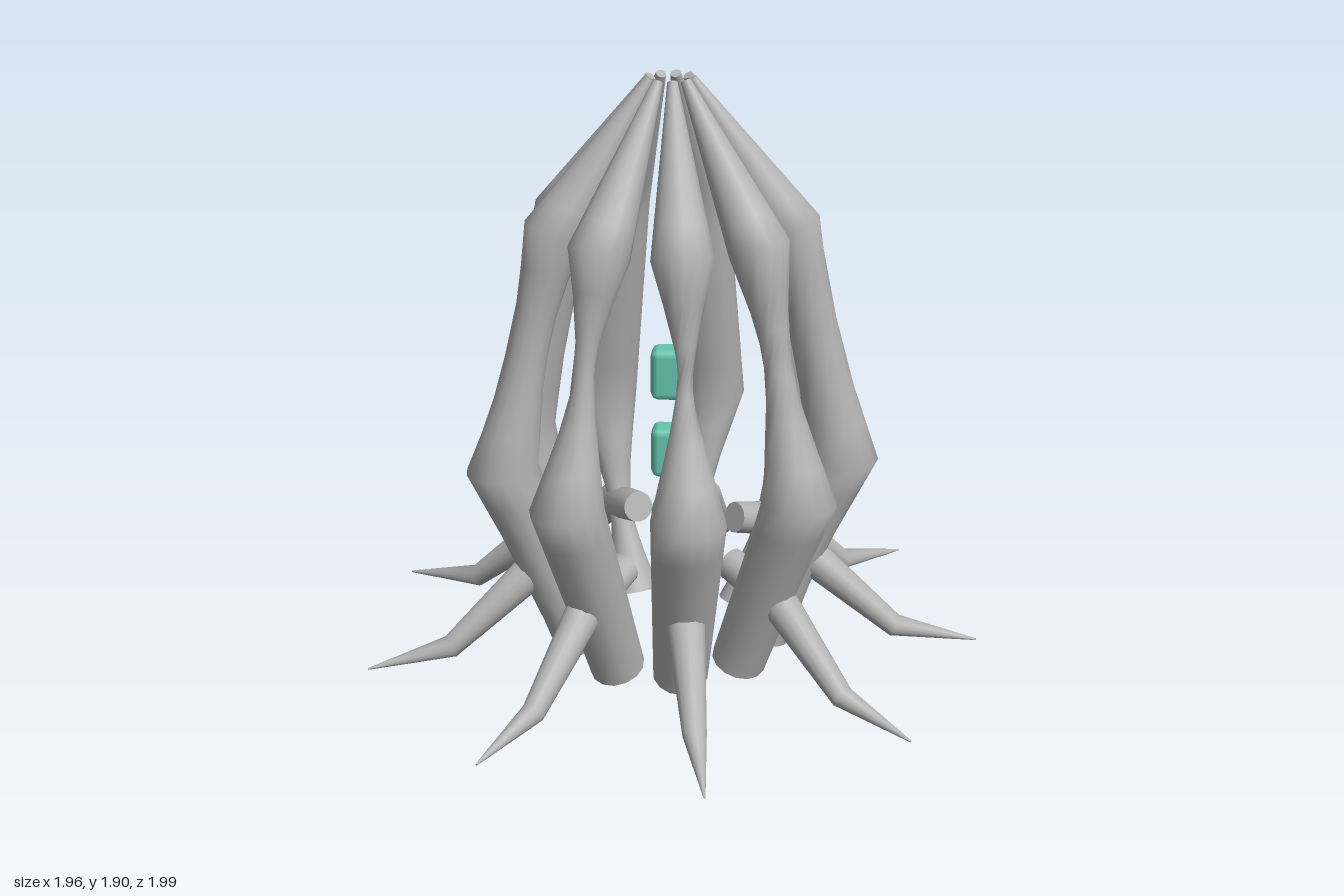
import * as THREE from 'three';
import { RoundedBoxGeometry } from 'three/addons/geometries/RoundedBoxGeometry.js';

const SIDES = 14;
const rad = THREE.MathUtils.degToRad;

// Skin round rings along a path in the local x-y plane.
// Each station is [x, y, radius, twist]; straight spans are split into `steps`.
function loft(stations, steps) {
  const pts = stations.map(([x, y]) => new THREE.Vector2(x, y));
  const rings = stations.map(([x, y, r, twist = 0], i) => {
    const t = new THREE.Vector2();
    if (i > 0) t.add(pts[i].clone().sub(pts[i - 1]).normalize());
    if (i < pts.length - 1) t.add(pts[i + 1].clone().sub(pts[i]).normalize());
    t.normalize();
    return Array.from({ length: SIDES }, (_, j) => {
      const a = (j / SIDES) * Math.PI * 2 + twist;
      const u = Math.cos(a) * r;
      return new THREE.Vector3(x - t.y * u, y + t.x * u, Math.sin(a) * r);
    });
  });

  const all = [rings[0]];
  for (let i = 1; i < rings.length; i++) {
    for (let s = 1; s <= steps; s++) {
      all.push(rings[i].map((p, j) => rings[i - 1][j].clone().lerp(p, s / steps)));
    }
  }

  const position = [];
  const index = [];
  const add = (p) => position.push(p.x, p.y, p.z);
  all.forEach((ring) => ring.forEach(add));
  for (let i = 0; i < all.length - 1; i++) {
    for (let j = 0; j < SIDES; j++) {
      const k = (j + 1) % SIDES;
      const a = i * SIDES + j, b = i * SIDES + k;
      index.push(a, b, b + SIDES, a, b + SIDES, a + SIDES);
    }
  }

  // Flat end caps with their own vertices
  [0, all.length - 1].forEach((n) => {
    const base = position.length / 3;
    const centre = new THREE.Vector3();
    all[n].forEach((p) => { add(p); centre.addScaledVector(p, 1 / SIDES); });
    add(centre);
    for (let j = 0; j < SIDES; j++) {
      const a = base + j, b = base + (j + 1) % SIDES;
      if (n === 0) index.push(base + SIDES, b, a);
      else index.push(base + SIDES, a, b);
    }
  });

  const geometry = new THREE.BufferGeometry();
  geometry.setAttribute('position', new THREE.Float32BufferAttribute(position, 3));
  geometry.setIndex(index);
  geometry.computeVertexNormals();
  return geometry;
}

export function createModel() {
  const model = new THREE.Group();
  model.name = 'clawedCage';
  const stone = new THREE.MeshStandardMaterial({ color: 0xb2b2b2 });
  stone.name = 'grey stone';
  const teal = new THREE.MeshStandardMaterial({ color: 0x66c6b0 });
  teal.name = 'teal gem';

  const centre = new THREE.Group();
  centre.name = 'cage';
  centre.position.x = -0.03;
  model.add(centre);

  // Nine bowed ribs, wrung in the upper span at the front and the lower span at the back
  const clawGeometry = loft([
    [0.26, 0.37, 0.052],
    [0.47, 0.31, 0.06],
    [0.74, 0.075, 0.037],
    [1.01, 0.033, 0.003],
  ], 1);
  for (let i = 0; i < 9; i++) {
    const azimuth = rad(i * 40);
    const side = Math.cos(azimuth) >= 0 ? 1 : -1;
    const upper = side * rad(78) * (1 + Math.sin(azimuth));
    const lower = side * rad(72) * (1 - Math.sin(azimuth));

    const arm = new THREE.Group();
    arm.name = `arm${i + 1}`;
    arm.rotation.y = -azimuth;
    const rib = new THREE.Mesh(loft([
      [0.065, 1.895, 0.016, 0],
      [0.37, 1.44, 0.095, 0],
      [0.55, 0.68, 0.115, upper],
      [0.305, 0.035, 0.088, upper + lower],
    ], 6), stone);
    rib.name = 'rib';
    const claw = new THREE.Mesh(clawGeometry, stone);
    claw.name = 'claw';
    arm.add(rib, claw);
    centre.add(arm);
  }

  // Three bevelled gems stacked on the axis
  const gemGeometry = new RoundedBoxGeometry(0.125, 0.17, 0.1, 1, 0.025);
  [0.95, 0.683, 0.415].forEach((y, i) => {
    const gem = new THREE.Mesh(gemGeometry, teal);
    gem.name = `gem${i + 1}`;
    gem.position.y = y;
    centre.add(gem);
  });

  return model;
}
